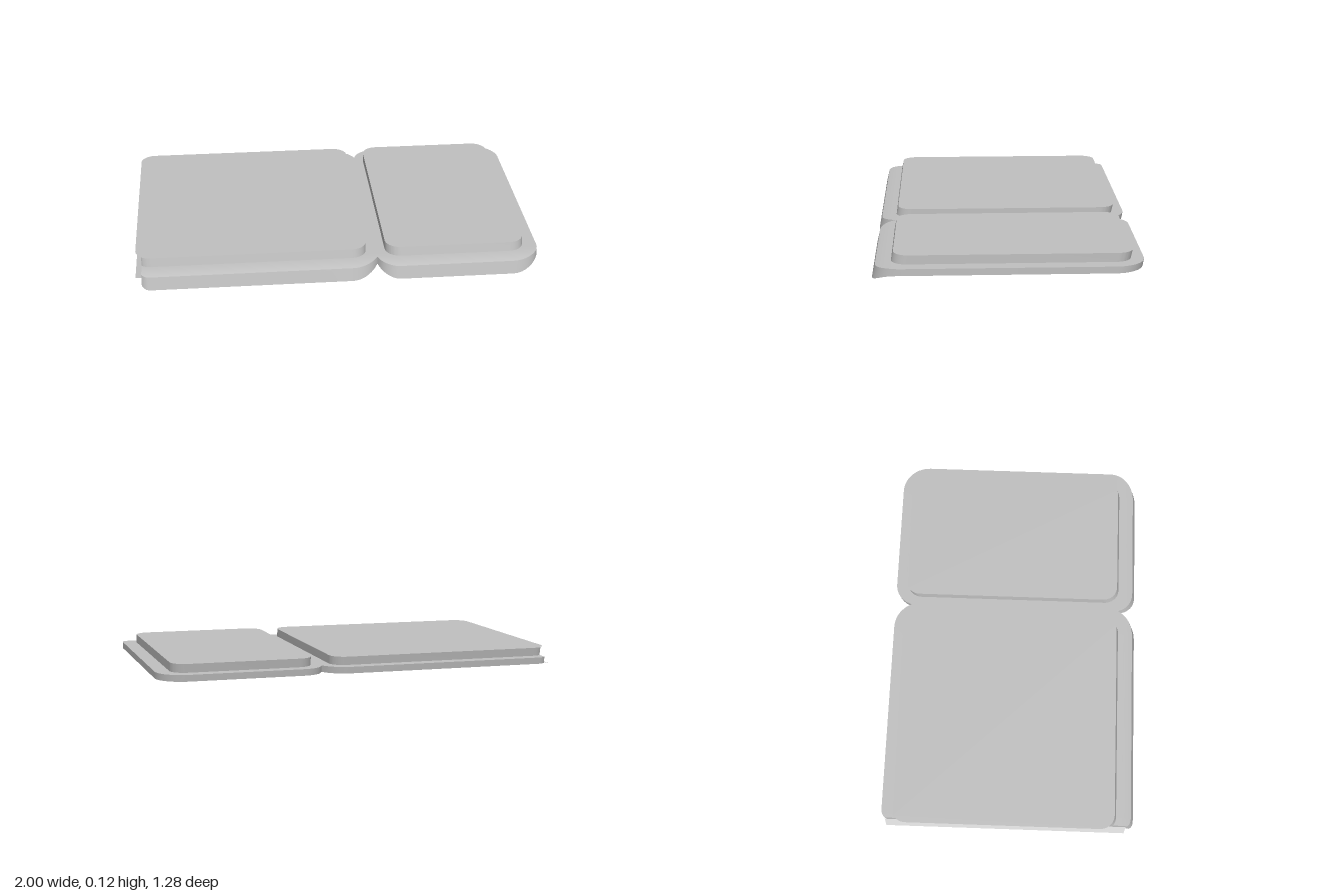
import * as THREE from 'three';
import { toCreasedNormals } from 'three/addons/utils/BufferGeometryUtils.js';

const CUT = -0.97; // open left end of the seat

// How far the outline is drawn in from the full depth, by x
function inset(x) {
  const corner = (d, r) => (d <= 0 ? 0 : r - Math.sqrt(Math.max(0, r * r - d * d)));
  if (x <= 0.19) return Math.max(corner(-0.93 - x, 0.05), corner(x - 0.06, 0.142));
  return Math.max(corner(0.3 - x, 0.114), corner(x - 0.86, 0.14));
}

// Closed slab made of cross-sections along x, with its front edge rolled down
function baseGeometry() {
  const xs = [];
  const span = (a, b, n) => {
    for (let i = 0; i < n; i++) xs.push(a + ((b - a) * i) / n);
  };
  span(CUT, -0.93, 4);
  span(-0.93, 0.06, 1);
  span(0.06, 0.19, 8);
  span(0.19, 0.3, 8);
  span(0.3, 0.86, 1);
  for (let i = 0; i <= 10; i++) xs.push(0.86 + 0.14 * Math.sin((i / 10) * Math.PI / 2));

  const rows = 12;
  const n = rows + 2;
  const pos = [];
  const idx = [];
  for (const x of xs) {
    const s = inset(x);
    const back = -0.637 + s;
    const front = 0.64 - s;
    const zs = [back];
    for (let i = 0; i <= rows; i++) zs.push(0.45 + ((front - 0.45) * i) / rows);
    const bend = (z) => Math.max(0, (z - 0.5) / 0.14);
    for (const z of zs) {
      const d = bend(z);
      pos.push(x, 0.079 - 0.015 * d ** 3, z - 0.015 * d);
    }
    for (const z of zs.reverse()) {
      const d = bend(z);
      pos.push(x, 0.046 - 0.046 * d ** 2.4, z < 0 ? z + 0.006 : z);
    }
  }
  const ring = 2 * n;
  for (let c = 0; c < xs.length - 1; c++) {
    for (let i = 0; i < ring; i++) {
      const a = c * ring + i;
      const b = c * ring + ((i + 1) % ring);
      idx.push(a, b, a + ring, b, b + ring, a + ring);
    }
  }
  // End walls
  const last = (xs.length - 1) * ring;
  for (let i = 0; i < n - 1; i++) {
    const j = ring - 1 - i;
    idx.push(i, j, i + 1, i + 1, j, j - 1);
    idx.push(last + i, last + i + 1, last + j, last + i + 1, last + j - 1, last + j);
  }
  const g = new THREE.BufferGeometry();
  g.setAttribute('position', new THREE.Float32BufferAttribute(pos, 3));
  g.setIndex(idx);
  return toCreasedNormals(g, 0.6);
}

// Rounded rectangle drawn with shape y = -z
function roundedOutline(x0, x1, z0, z1, r) {
  const s = new THREE.Shape();
  s.absarc(x1 - r, -z0 - r, r, Math.PI / 2, 0, true);
  s.absarc(x1 - r, -z1 + r, r, 0, -Math.PI / 2, true);
  s.absarc(x0 + r, -z1 + r, r, -Math.PI / 2, -Math.PI, true);
  s.absarc(x0 + r, -z0 - r, r, Math.PI, Math.PI / 2, true);
  return s.getPoints(8);
}

// Raised pad, leaning slightly back
function padGeometry(points, height) {
  const g = new THREE.ExtrudeGeometry(new THREE.Shape(points), {
    depth: height, bevelEnabled: false,
  });
  g.rotateX(-Math.PI / 2);
  const p = g.attributes.position;
  for (let i = 0; i < p.count; i++) p.setZ(i, p.getZ(i) - 0.22 * (p.getY(i) - height));
  return toCreasedNormals(g, 0.6);
}

export function createModel() {
  const group = new THREE.Group();
  const grey = new THREE.MeshStandardMaterial({ color: 0xc0c0c0, side: THREE.DoubleSide });
  grey.name = 'light grey';
  const add = (name, geometry, y = 0) => {
    const mesh = new THREE.Mesh(geometry, grey);
    mesh.name = name;
    mesh.position.y = y;
    group.add(mesh);
  };

  add('seatBase', baseGeometry());

  // Wide pad: its body stops at the open end, its top skin runs on past it
  const wide = roundedOutline(-1, 0.14, -0.585, 0.54, 0.075);
  const body = wide.map((p) => new THREE.Vector2(Math.max(p.x, CUT), p.y));
  add('widePad', padGeometry(body, 0.043), 0.078);
  const skin = new THREE.ShapeGeometry(new THREE.Shape(wide));
  skin.rotateX(-Math.PI / 2);
  add('widePadTopSkin', skin, 0.1225);

  // Narrow pad
  const narrow = roundedOutline(0.235, 0.93, -0.585, 0.54, 0.075);
  add('narrowPad', padGeometry(narrow, 0.0445), 0.078);

  // Thin lip under the open end
  const lip = new THREE.BufferGeometry();
  lip.setAttribute('position', new THREE.Float32BufferAttribute([
    CUT, 0.05, -0.62, -1, 0.043, -0.61, -1, 0.043, 0.59, CUT, 0.05, 0.6,
  ], 3));
  lip.setIndex([0, 1, 2, 0, 2, 3]);
  lip.computeVertexNormals();
  add('openEndLip', lip);

  return group;
}
